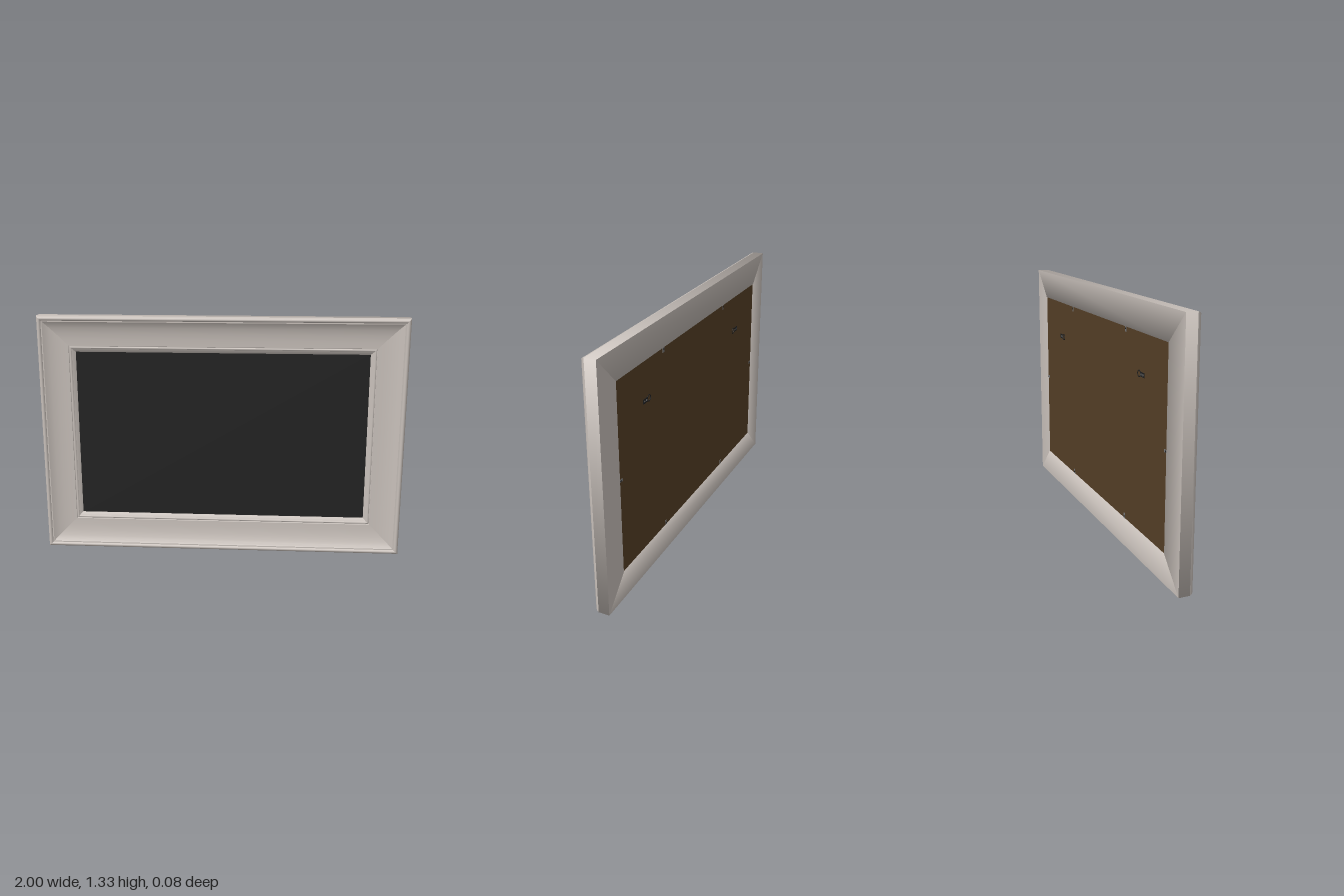
import * as THREE from 'three';

const W = 1, H = 0.665; // half width and half height of the frame
const mat = (name, color) => {
  const m = new THREE.MeshStandardMaterial({ color });
  m.name = name;
  return m;
};

// Sweeps a profile of [inset, z] points round the rectangle with mitred corners.
// wrap = true carries the shading smoothly round the corners.
function mitredStrip(profile, wrap = false) {
  const corners = [[-1, -1], [1, -1], [1, 1], [-1, 1]];
  const inward = [[0, 1], [-1, 0], [0, -1], [1, 0]];
  const segs = profile.slice(1).map((p, i) =>
    new THREE.Vector2(profile[i][1] - p[1], p[0] - profile[i][0]).normalize());
  const pos = [], nor = [], idx = [];
  const n = profile.length;
  for (let k = 0; k < 4; k++) {
    const base = pos.length / 3;
    for (const c of [k, (k + 1) % 4]) {
      const [sx, sy] = corners[c];
      profile.forEach(([d, z], i) => {
        const v = new THREE.Vector2();
        if (i > 0) v.add(segs[i - 1]);
        if (i < n - 1) v.add(segs[i]);
        v.normalize();
        const dir = wrap ? [-sx * Math.SQRT1_2, -sy * Math.SQRT1_2] : inward[k];
        pos.push(sx * (W - d), H + sy * (H - d), z);
        nor.push(dir[0] * v.x, dir[1] * v.x, v.y);
      });
    }
    for (let i = 0; i < n - 1; i++) {
      const a = base + i, b = a + n;
      idx.push(a, b, a + 1, b, b + 1, a + 1);
    }
  }
  const g = new THREE.BufferGeometry();
  g.setAttribute('position', new THREE.Float32BufferAttribute(pos, 3));
  g.setAttribute('normal', new THREE.Float32BufferAttribute(nor, 3));
  g.setIndex(idx);
  return g;
}

export function createModel() {
  const model = new THREE.Group();
  model.name = 'pictureFrame';
  const frameMat = mat('frameSilver', 0xc8c0ba);
  const panelMat = mat('panelBlack', 0x222222);
  const boardMat = mat('boardBrown', 0x553f26);
  const tabMat = mat('tabSteel', 0x777777);
  const hangerMat = mat('hangerBlack', 0x1e1e1e);

  const add = (parent, name, geo, material, x = 0, y = 0, z = 0) => {
    const m = new THREE.Mesh(geo, material);
    m.name = name;
    m.position.set(x, y, z);
    parent.add(m);
    return m;
  };

  // Moulding, one strip for each smooth run of the section
  const moulding = new THREE.Group();
  moulding.name = 'moulding';
  model.add(moulding);
  const strip = (name, profile, wrap) => add(moulding, name, mitredStrip(profile, wrap), frameMat);
  strip('outerWall', [[0, -0.04], [0, 0.02]], true);
  strip('outerBead', [[0, 0.02], [0.004, 0.031], [0.01, 0.038], [0.016, 0.04], [0.022, 0.038], [0.026, 0.032]]);
  strip('outerStep', [[0.026, 0.032], [0.032, 0.032]]);
  strip('scoop', [[0.032, 0.032], [0.045, 0.024], [0.065, 0.016], [0.095, 0.009], [0.13, 0.005], [0.165, 0.004]]);
  strip('innerGroove', [[0.165, 0.004], [0.165, -0.001], [0.169, -0.001]]);
  strip('innerBead', [[0.169, -0.001], [0.172, 0.003], [0.177, 0.003], [0.181, -0.001]]);
  strip('innerLip', [[0.181, -0.001], [0.19, -0.005], [0.2, -0.012]]);
  strip('innerWall', [[0.2, -0.012], [0.2, -0.02]]);
  strip('backRail', [[0.155, -0.03], [0.155, -0.04], [0, -0.04]]);

  // Picture panel and backing board
  add(model, 'picturePanel', new THREE.BoxGeometry(1.62, 0.95, 0.014), panelMat, 0, H, -0.021);
  add(model, 'backingBoard', new THREE.BoxGeometry(1.69, 1.02, 0.008), boardMat, 0, H, -0.033);

  // Retaining tabs round the board: x, y, turn
  const tabs = [[0.375, 1.165, 0], [-0.375, 1.165, 0], [0.375, 0.165, 0], [-0.375, 0.165, 0],
    [0.835, H, Math.PI / 2], [-0.835, H, Math.PI / 2]];
  for (const [x, y, turn] of tabs) {
    const tab = new THREE.Group();
    tab.name = 'retainingTab';
    tab.position.set(x, y, -0.038);
    tab.rotation.z = turn;
    add(tab, 'tabPlate', new THREE.BoxGeometry(0.014, 0.034, 0.002), tabMat);
    const screw = add(tab, 'tabScrew', new THREE.CylinderGeometry(0.005, 0.005, 0.002, 12), hangerMat, 0, 0, -0.001);
    screw.rotation.x = Math.PI / 2;
    model.add(tab);
  }

  // Hangers: strap on the outside, ring toward the middle
  for (const s of [-1, 1]) {
    const hanger = new THREE.Group();
    hanger.name = 'hanger';
    hanger.position.set(s * 0.557, 0.97, -0.038);
    add(hanger, 'hangerStrap', new THREE.BoxGeometry(0.045, 0.024, 0.003), hangerMat, s * 0.016);
    add(hanger, 'hangerRing', new THREE.TorusGeometry(0.016, 0.0025, 6, 20), hangerMat, s * -0.02);
    for (const dx of [0.006, 0.026]) {
      const screw = add(hanger, 'hangerScrew', new THREE.CylinderGeometry(0.006, 0.006, 0.002, 12), tabMat, s * dx, 0, -0.001);
      screw.rotation.x = Math.PI / 2;
    }
    model.add(hanger);
  }
  return model;
}
